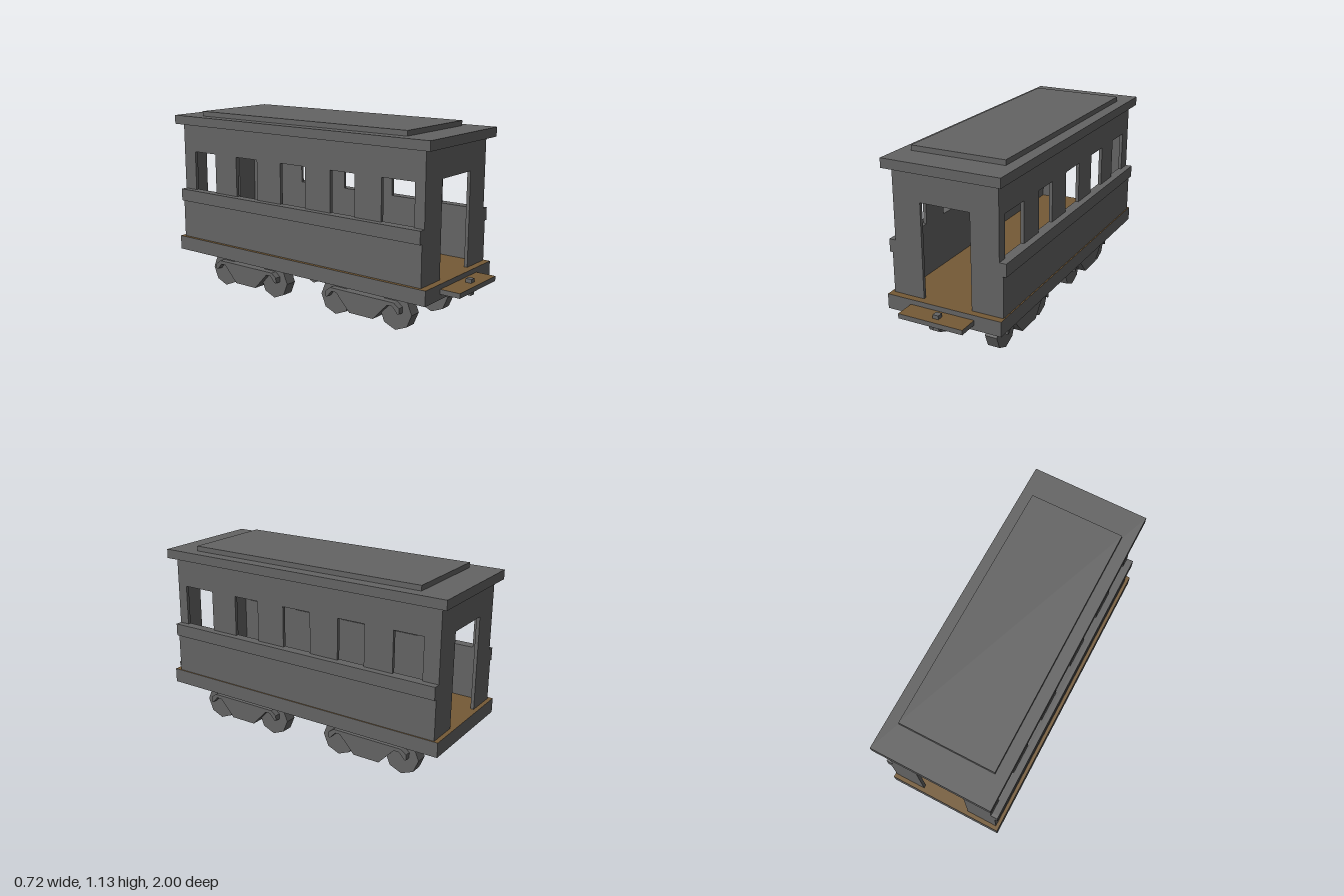
import * as THREE from 'three';

const grey = new THREE.MeshStandardMaterial({ color: 0x646464, flatShading: true });
grey.name = 'grey paint';
const brown = new THREE.MeshStandardMaterial({ color: 0x755a36, flatShading: true });
brown.name = 'brown wood';
const planked = [grey, grey, brown, brown, grey, grey]; // wooden top and bottom

// Box given by its extents on each axis
function box(parent, name, [x0, x1], [y0, y1], [z0, z1], material = grey) {
  const mesh = new THREE.Mesh(new THREE.BoxGeometry(x1 - x0, y1 - y0, z1 - z0), material);
  mesh.position.set((x0 + x1) / 2, (y0 + y1) / 2, (z0 + z1) / 2);
  mesh.name = name;
  parent.add(mesh);
  return mesh;
}

const outline = (points) => points.map(([a, b]) => new THREE.Vector2(a, b));
const rect = (a0, a1, b0, b1) => outline([[a0, b0], [a1, b0], [a1, b1], [a0, b1]]);

// Extrusion centred on its own depth
function slab(shape, depth) {
  return new THREE.ExtrudeGeometry(shape, { depth, bevelEnabled: false }).translate(0, 0, -depth / 2);
}

// Profile drawn in (z, y), extruded along x
const sideSlab = (shape, depth) => slab(shape, depth).rotateY(-Math.PI / 2);

function add(parent, name, geometry, x, y, z) {
  const mesh = new THREE.Mesh(geometry, grey);
  mesh.position.set(x, y, z);
  mesh.name = name;
  parent.add(mesh);
}

const FRONT = 0.84, BACK = -0.96, THICK = 0.02;
const FLOOR = 0.317, EAVES = 1.045, RAIL_LOW = 0.555, RAIL_TOP = 0.63;

function buildBody() {
  const body = new THREE.Group();
  body.name = 'body';
  const inner = [BACK + THICK, FRONT - THICK];

  // Side walls with five windows, thicker lower panel and waist rail
  const wall = new THREE.Shape(rect(inner[0], inner[1], FLOOR, EAVES));
  const windows = [[0.567, 0.777], [0.22, 0.39], [-0.15, 0.037], [-0.507, -0.335], [-0.865, -0.685]];
  for (const [z0, z1] of windows) {
    wall.holes.push(new THREE.Path(rect(z0, z1, RAIL_TOP, 0.874).reverse()));
  }
  const wallGeometry = sideSlab(wall, THICK);
  for (const s of [-1, 1]) {
    const side = s > 0 ? 'left' : 'right';
    const span = (a, b) => (s > 0 ? [a, b] : [-b, -a]);
    add(body, side + 'WindowWall', wallGeometry, s * (0.318 - THICK / 2), 0, 0);
    box(body, side + 'LowerPanel', span(0.318, 0.34), [FLOOR, RAIL_LOW], inner);
    box(body, side + 'WaistRail', span(0.318, 0.358), [RAIL_LOW, RAIL_TOP], inner);
  }

  // End walls: stepped silhouette with an open doorway
  const half = [[0.15, 0.872], [0.15, FLOOR], [0.34, FLOOR], [0.34, RAIL_LOW],
    [0.358, RAIL_LOW], [0.358, RAIL_TOP], [0.318, RAIL_TOP], [0.318, EAVES]];
  const mirrored = half.map(([x, y]) => [-x, y]).reverse();
  const endGeometry = slab(new THREE.Shape(outline([...half, ...mirrored])), THICK);
  add(body, 'frontWall', endGeometry, 0, 0, FRONT - THICK / 2);
  add(body, 'backWall', endGeometry, 0, 0, BACK + THICK / 2);
  return body;
}

// One bogie on one side: frame, post and two octagonal wheels
function buildBogie() {
  const bogie = new THREE.Group();
  bogie.name = 'bogie';
  const half = [[0.083, 0.048], [0.178, 0.15], [0.212, 0.15], [0.246, 0.112],
    [0.257, 0.112], [0.257, 0.146], [0.222, 0.172]];
  const mirrored = half.map(([z, y]) => [-z, y]).reverse();
  add(bogie, 'bogieFrame', sideSlab(new THREE.Shape(outline([...half, ...mirrored])), 0.149), 0, 0, 0);
  box(bogie, 'bogiePost', [-0.024, 0.024], [0.16, 0.235], [-0.083, 0.083]);
  const wheel = new THREE.CylinderGeometry(0.106, 0.106, 0.073, 8).rotateZ(Math.PI / 2);
  for (const z of [-0.21, 0.21]) add(bogie, 'wheel', wheel, 0, 0.108, z);
  return bogie;
}

export function createModel() {
  const model = new THREE.Group();
  model.name = 'railwayCarriage';

  // Floor and body
  box(model, 'floor', [-0.36, 0.347], [0.23, FLOOR], [-0.985, 0.88], planked);
  model.add(buildBody());

  // Two-step roof
  box(model, 'roof', [-0.355, 0.354], [EAVES, 1.1], [-1, 0.885]);
  box(model, 'raisedRoof', [-0.285, 0.284], [1.1, 1.13], [-0.82, 0.702]);

  // Coupling plate and pin
  box(model, 'couplingPlate', [-0.21, 0.186], [0.26, 0.288], [0.88, 1], planked);
  box(model, 'couplingPin', [-0.018, 0.017], [0.217, 0.31], [0.925, 0.96]);

  // Four bogies
  for (const x of [-0.192, 0.192]) {
    for (const z of [0.4, -0.502]) {
      const bogie = buildBogie();
      bogie.position.set(x, 0, z);
      model.add(bogie);
    }
  }
  return model;
}
